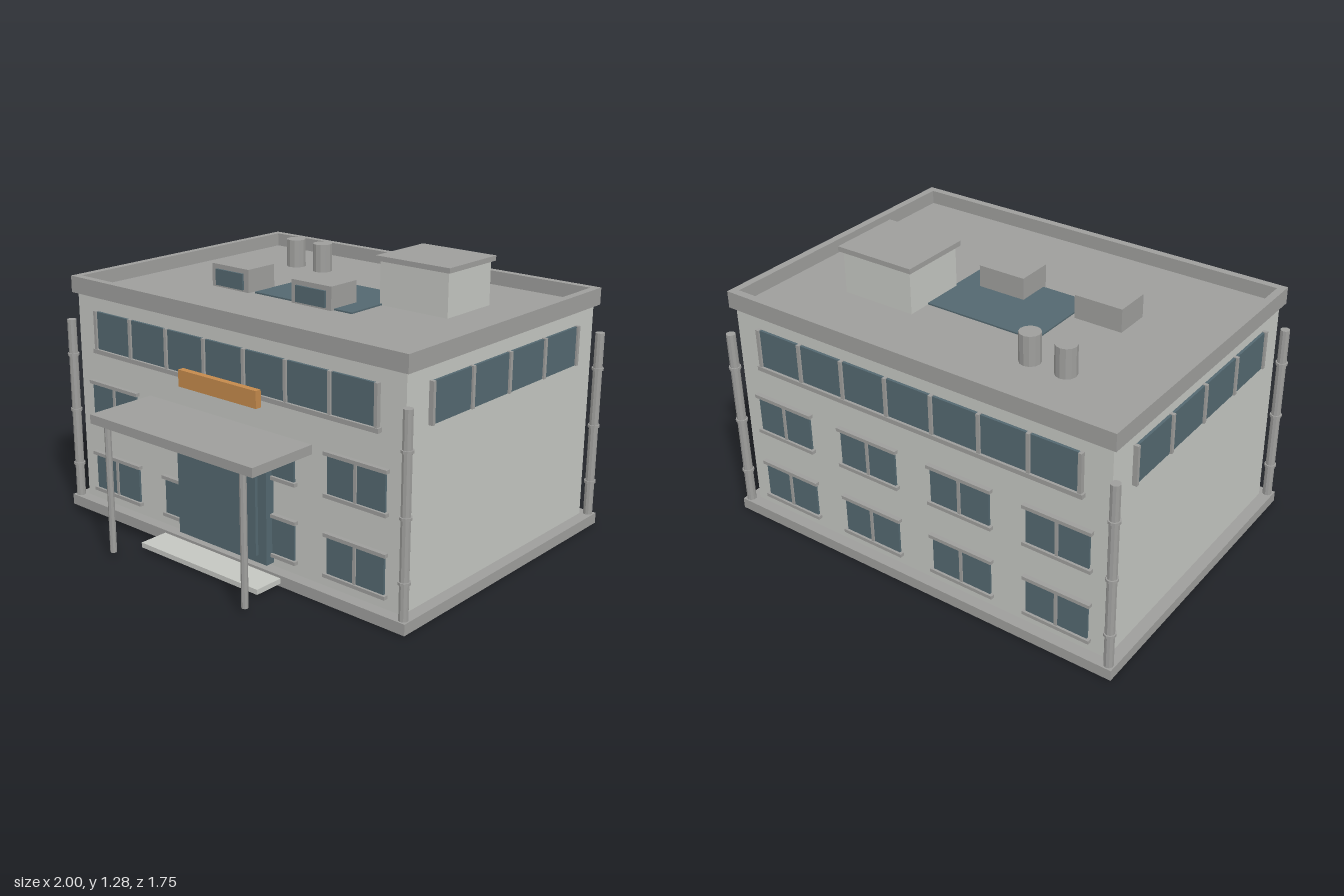
import * as THREE from 'three';

const mat = (name, color) => {
  const m = new THREE.MeshStandardMaterial({ color });
  m.name = name;
  return m;
};

export function createModel() {
  const wall = mat('wall', 0xc4c6c1);
  const trim = mat('trim', 0x9e9e9c);
  const glass = mat('glass', 0x546870);
  const orange = mat('signOrange', 0xc48a4c);

  const root = new THREE.Group();
  root.name = 'building';

  const add = (parent, name, geo, material) => {
    const mesh = new THREE.Mesh(geo, material);
    mesh.name = name;
    parent.add(mesh);
    return mesh;
  };
  // Box given by its limits on each axis
  const box = (parent, name, material, x0, x1, y0, y1, z0, z1) => {
    const mesh = add(parent, name, new THREE.BoxGeometry(x1 - x0, y1 - y0, z1 - z0), material);
    mesh.position.set((x0 + x1) / 2, (y0 + y1) / 2, (z0 + z1) / 2);
    return mesh;
  };
  // Upright cylinder standing on y0
  const post = (parent, name, material, r, x, z, y0, y1, sides) => {
    const geo = new THREE.CylinderGeometry(r, r, y1 - y0, sides);
    const flat = material.flatShading ? geo : geo.toNonIndexed();
    flat.computeVertexNormals();
    const mesh = add(parent, name, flat, material);
    mesh.position.set(x, (y0 + y1) / 2, z);
    return mesh;
  };
  const group = (name, parent = root) => {
    const g = new THREE.Group();
    g.name = name;
    parent.add(g);
    return g;
  };

  const CZ = -0.146; // middle of the main block along z
  const HX = 0.945, HZ = 0.674; // half size of the main block

  // Plinth and main block
  box(root, 'plinth', trim, -1, 1, 0, 0.05, -0.873, 0.582);
  box(root, 'walls', wall, -HX, HX, 0.05, 1.046, CZ - HZ, CZ + HZ);

  // Roof deck and parapet
  const PX = 0.966, PZ = 0.695, T = 0.035;
  box(root, 'roofDeck', trim, -PX, PX, 1.045, 1.058, CZ - PZ, CZ + PZ);
  const parapet = group('parapet');
  for (const s of [-1, 1]) {
    const z = CZ + s * (PZ - T / 2), x = s * (PX - T / 2);
    box(parapet, 'parapetLong', trim, -PX, PX, 1.045, 1.122, z - T / 2, z + T / 2);
    box(parapet, 'parapetShort', trim, x - T / 2, x + T / 2, 1.045, 1.122, CZ - PZ + T, CZ + PZ - T);
  }

  // Long window band, built in the plane z = 0 facing +z
  const windowBand = (parent, half, panes, sill) => {
    const g = group('windowBand', parent);
    box(g, 'bandGlass', glass, -half, half, 0.802, 0.977, -0.01, 0.012);
    for (let i = 0; i <= panes; i++) {
      const x = -half + (2 * half * i) / panes;
      box(g, 'bandMullion', trim, x - 0.008, x + 0.008, 0.802, 0.98, -0.01, 0.021);
    }
    if (sill) box(g, 'bandSill', trim, -half - 0.016, half + 0.016, 0.782, 0.802, -0.01, 0.024);
  };
  // Two-pane window with lintel and sill
  const smallWindow = (parent, x, y) => {
    const g = group('window', parent);
    g.position.set(x, y, 0);
    box(g, 'windowGlass', glass, -0.147, 0.147, -0.082, 0.082, -0.01, 0.01);
    box(g, 'windowMullion', trim, -0.007, 0.007, -0.082, 0.082, -0.01, 0.016);
    for (const s of [-1, 1]) {
      const c = s * 0.09;
      box(g, s > 0 ? 'lintel' : 'windowSill', trim, -0.16, 0.16, c - 0.008, c + 0.008, -0.01, 0.021);
    }
  };

  // Front and back facades
  for (const s of [1, -1]) {
    const facade = group(s > 0 ? 'frontFacade' : 'backFacade');
    facade.position.z = CZ + s * HZ;
    if (s < 0) facade.rotation.y = Math.PI;
    windowBand(facade, 0.814, 7, true);
    for (const x of [-0.7125, -0.2405, 0.2405, 0.7125])
      for (const y of [0.195, 0.545]) smallWindow(facade, x, y);
  }
  // Side facades
  for (const s of [1, -1]) {
    const facade = group(s > 0 ? 'leftFacade' : 'rightFacade');
    facade.position.set(s * HX, 0, CZ);
    facade.rotation.y = (s * Math.PI) / 2;
    windowBand(facade, 0.527, 4, false);
  }

  // Corner pipes with collars
  for (const x of [-0.973, 0.973])
    for (const z of [0.554, -0.846]) {
      const g = group('cornerPipe');
      post(g, 'pipe', trim, 0.021, x, z, 0.05, 0.917, 10);
      for (const y of [0.21, 0.48, 0.75])
        post(g, 'pipeCollar', trim, 0.027, x, z, y - 0.006, y + 0.006, 10);
    }

  // Entrance
  const entrance = group('entrance');
  box(entrance, 'canopy', trim, -0.478, 0.478, 0.606, 0.647, 0.52, 0.873);
  for (const x of [-0.4, 0.4]) post(entrance, 'canopyPost', trim, 0.015, x, 0.845, 0.021, 0.608, 8);
  box(entrance, 'doorFrame', glass, -0.265, 0.265, 0.065, 0.564, 0.52, 0.573);
  box(entrance, 'doorPanel', glass, -0.217, 0.217, 0.1, 0.53, 0.55, 0.588);
  box(entrance, 'entranceStep', wall, -0.352, 0.352, 0.015, 0.038, 0.5, 0.724);
  box(entrance, 'signBoard', orange, -0.228, 0.228, 0.756, 0.832, 0.558, 0.588);

  // Roof fittings
  const roof = group('roofFittings');
  box(roof, 'skylight', glass, -0.284, 0.284, 1.057, 1.065, -0.355, 0.052);
  box(roof, 'penthouse', wall, 0.272, 0.634, 1.05, 1.256, -0.465, -0.155);
  box(roof, 'penthouseCap', trim, 0.256, 0.648, 1.255, 1.278, -0.482, -0.14);
  for (const x of [-0.42, 0.07]) {
    box(roof, 'airUnit', trim, x - 0.115, x + 0.115, 1.05, 1.165, -0.1, 0.07);
    box(roof, 'airUnitGrille', glass, x - 0.085, x + 0.085, 1.068, 1.143, 0.065, 0.08);
  }
  for (const x of [-0.53, -0.36]) post(roof, 'vent', trim, 0.047, x, -0.503, 1.05, 1.192, 12);

  return root;
}
